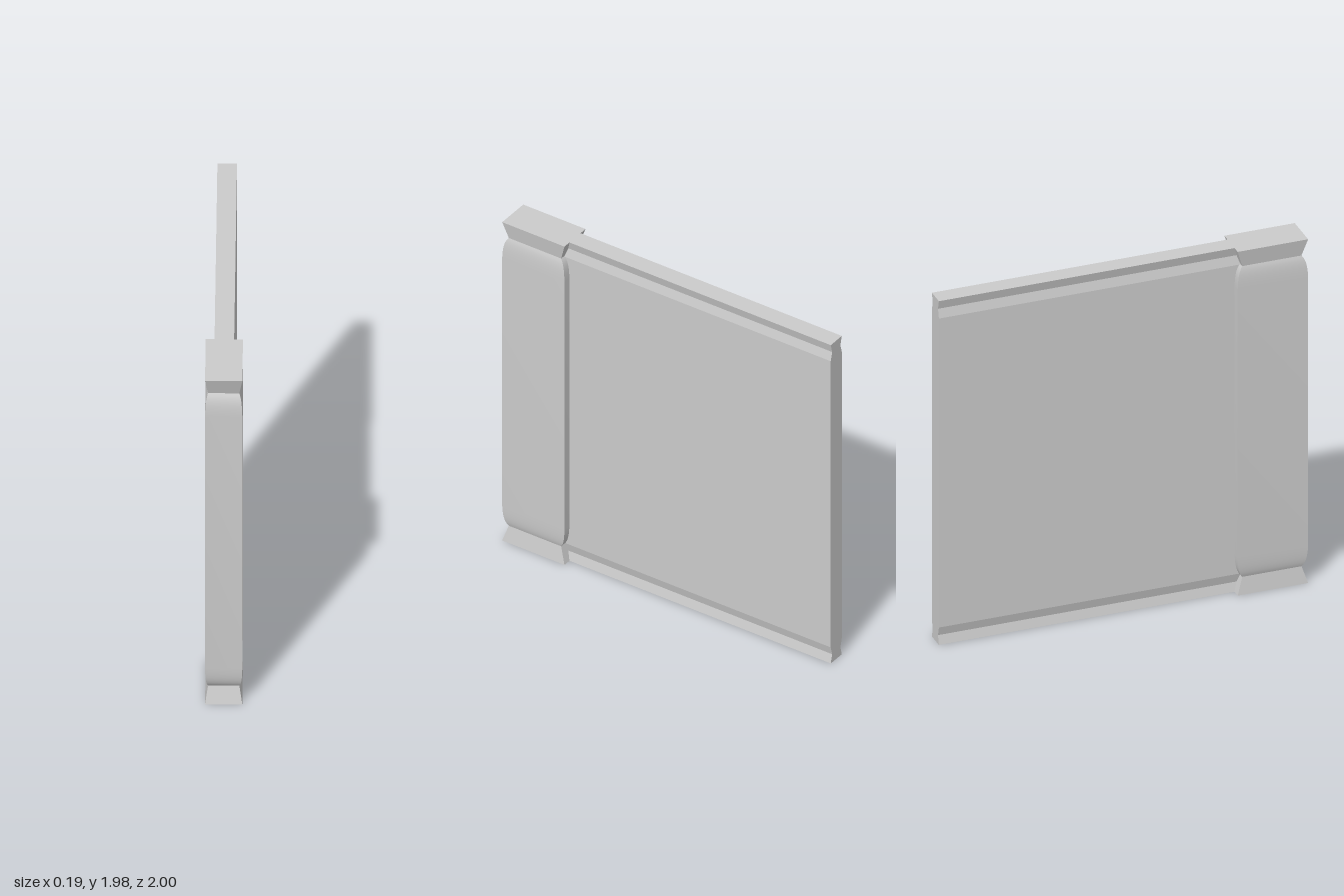
import * as THREE from 'three';
import { toCreasedNormals } from 'three/addons/utils/BufferGeometryUtils.js';

const H = 1.98;
const mat = new THREE.MeshStandardMaterial({ color: 0xcccccc });

// Repeats the lower half of a [width, y] profile upside down above it
const mirrorUp = (pts) => [...pts, ...pts.map(([w, y]) => [w, H - y]).reverse()];

// Square post: flared foot, narrow neck and a shaft with rounded shoulders
function createPost() {
  const half = [[0, 0], [1, 0], [0.84, 0.095], [0.89, 0.108], [0.925, 0.122],
    [0.955, 0.14], [0.975, 0.16], [0.99, 0.185], [1, 0.22]];
  const pts = mirrorUp(half).map(([w, y]) => new THREE.Vector2(w * Math.SQRT2, y));
  const geo = new THREE.LatheGeometry(pts, 4, Math.PI / 4);
  geo.scale(0.095, 1, 0.1925);
  const post = new THREE.Mesh(toCreasedNormals(geo, 0.3), mat);
  post.name = 'post';
  post.position.z = 0.8075;
  return post;
}

// Thin panel with a V groove along its upper and lower edges
function createPanel() {
  const right = mirrorUp([[0.05, 0], [0.037, 0.05], [0.05, 0.1]]);
  const left = right.map(([x, y]) => [-x, y]).reverse();
  const shape = new THREE.Shape([...right, ...left].map(([x, y]) => new THREE.Vector2(x, y)));
  const geo = new THREE.ExtrudeGeometry(shape, { depth: 1.68, bevelEnabled: false });
  const panel = new THREE.Mesh(geo, mat);
  panel.name = 'wallPanel';
  panel.position.z = -1;
  return panel;
}

export function createModel() {
  const model = new THREE.Group();
  model.name = 'wallSection';
  model.add(createPost(), createPanel());
  return model;
}
